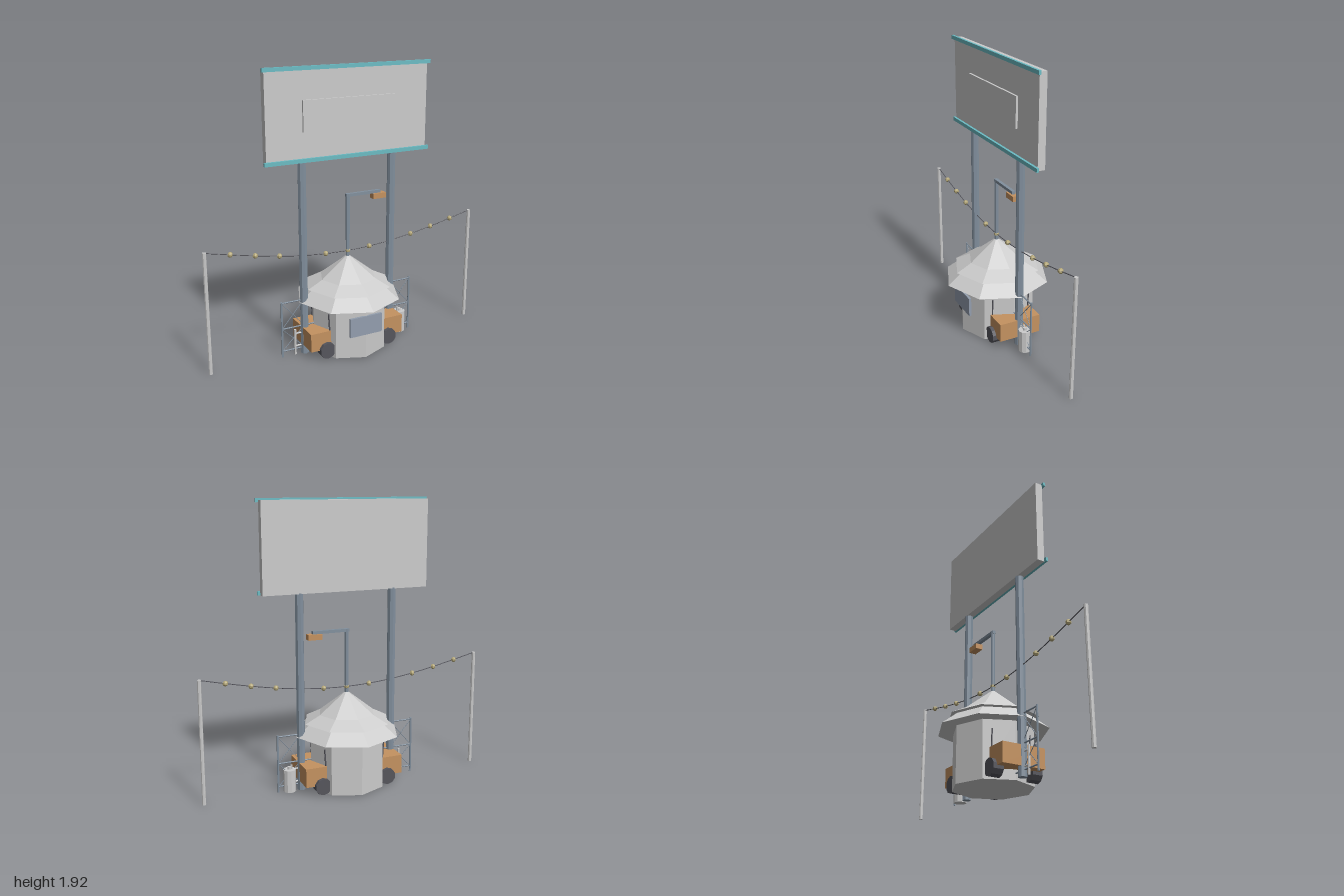
import * as THREE from 'three';

const mat = (name, color) => {
  const m = new THREE.MeshStandardMaterial({ color, flatShading: true });
  m.name = name;
  return m;
};

export function createModel() {
  const grey = mat('pale grey', 0xcccccc);
  const steel = mat('blue steel', 0x82909e);
  const orange = mat('orange brown', 0xc49260);
  const teal = mat('teal', 0x6cbcc4);
  const glass = mat('window blue', 0x939eae);
  const dark = mat('dark rubber', 0x55555c);
  const amber = mat('bulb amber', 0xb8ab7c);

  const model = new THREE.Group();
  const add = (name, geometry, material, x = 0, y = 0, z = 0) => {
    const mesh = new THREE.Mesh(geometry, material);
    mesh.name = name;
    mesh.position.set(x, y, z);
    model.add(mesh);
    return mesh;
  };
  const box = (name, material, w, h, d, x, y, z) =>
    add(name, new THREE.BoxGeometry(w, h, d), material, x, y, z);
  // upright cylinder standing on y0
  const column = (name, material, r, h, sides, x, y0, z = 0) =>
    add(name, new THREE.CylinderGeometry(r, r, h, sides), material, x, y0 + h / 2, z);
  // round bar between two points
  const bar = (name, material, r, a, b) => {
    const p = new THREE.Vector3(...a), q = new THREE.Vector3(...b);
    const mesh = add(name, new THREE.CylinderGeometry(r, r, p.distanceTo(q), 6), material);
    mesh.position.copy(p).add(q).multiplyScalar(0.5);
    mesh.quaternion.setFromUnitVectors(new THREE.Vector3(0, 1, 0), q.sub(p).normalize());
    return mesh;
  };

  // Octagonal kiosk with two crossing roof cones
  column('kioskBody', grey, 0.26, 0.37, 8, 0, 0);
  add('lowerRoof', new THREE.ConeGeometry(0.36, 0.285, 8), grey, 0, 0.365 + 0.1425, 0);
  add('upperRoof', new THREE.ConeGeometry(0.296, 0.15, 8), grey, 0, 0.445 + 0.075, 0);
  box('window', glass, 0.235, 0.132, 0.016, 0, 0.233, 0.257);

  // Billboard
  box('billboardPanel', grey, 1.15, 0.585, 0.05, 0, 1.6125, 0);
  box('billboardPlate', grey, 0.656, 0.2, 0.014, 0, 1.61, 0.032);
  for (const y of [1.332, 1.904]) box('billboardTrim', teal, 1.185, 0.025, 0.016, 0, y, 0.033);

  // Lamp mast above the roof
  column('lampMast', steel, 0.014, 0.45, 8, 0, 0.62);
  box('lampArm', steel, 0.255, 0.02, 0.022, 0.113, 1.06, 0);
  box('lampHead', orange, 0.095, 0.036, 0.05, 0.228, 1.032, 0);

  for (const s of [-1, 1]) {
    column('billboardPost', steel, 0.028, 1.325, 8, s * 0.328, 0);
    column('stringPole', grey, 0.013, 0.822, 8, s * 0.987, 0);

    // Cart box with wheels and handles
    box('cartBox', orange, 0.146, 0.127, 0.294, s * 0.274, 0.127, 0);
    for (const z of [-1, 1]) {
      const wheel = add('cartWheel', new THREE.CylinderGeometry(0.056, 0.056, 0.07, 10), dark,
        s * 0.233, 0.06, z * 0.135);
      wheel.rotation.x = Math.PI / 2;
      bar('cartHandle', dark, 0.005, [s * 0.205, 0.18, z * 0.135], [s * 0.213, 0.305, z * 0.135]);
    }

    // Braced side frame
    const xi = s * 0.33, xo = s * 0.49;
    column('frameUpright', steel, 0.007, 0.395, 6, xo, 0);
    for (const y of [0.04, 0.2, 0.385])
      bar('frameRail', steel, 0.005, [s * 0.25, y, 0], [xo, y, 0]);
    for (const [a, b] of [[0.04, 0.2], [0.2, 0.385]]) {
      bar('frameBrace', steel, 0.0025, [xi, a, 0], [xo, b, 0]);
      bar('frameBrace', steel, 0.0025, [xi, b, 0], [xo, a, 0]);
    }

    // Small standpipe beside the frame
    column('standpipe', grey, 0.008, 0.18, 6, s * 0.397, 0);
    for (const y of [0.06, 0.15])
      bar('standpipeArm', grey, 0.006, [s * 0.397, y, 0], [s * 0.34, y, 0]);
  }

  // Canister
  column('canister', grey, 0.043, 0.152, 10, 0.412, 0);
  column('canisterNeck', grey, 0.013, 0.02, 8, 0.412, 0.15);

  // Sagging light string
  const sag = (t) => new THREE.Vector3((t - 0.5) * 1.974, 0.82 - 0.145 * Math.sin(Math.PI * t), 0);
  const points = Array.from({ length: 13 }, (_, i) => sag(i / 12));
  add('lightWire', new THREE.TubeGeometry(new THREE.CatmullRomCurve3(points), 36, 0.003, 5), dark);
  for (let i = 1; i < 12; i++) {
    const p = sag(i / 12);
    add('bulb', new THREE.SphereGeometry(0.018, 6, 5), amber, p.x, p.y, p.z);
  }

  return model;
}
